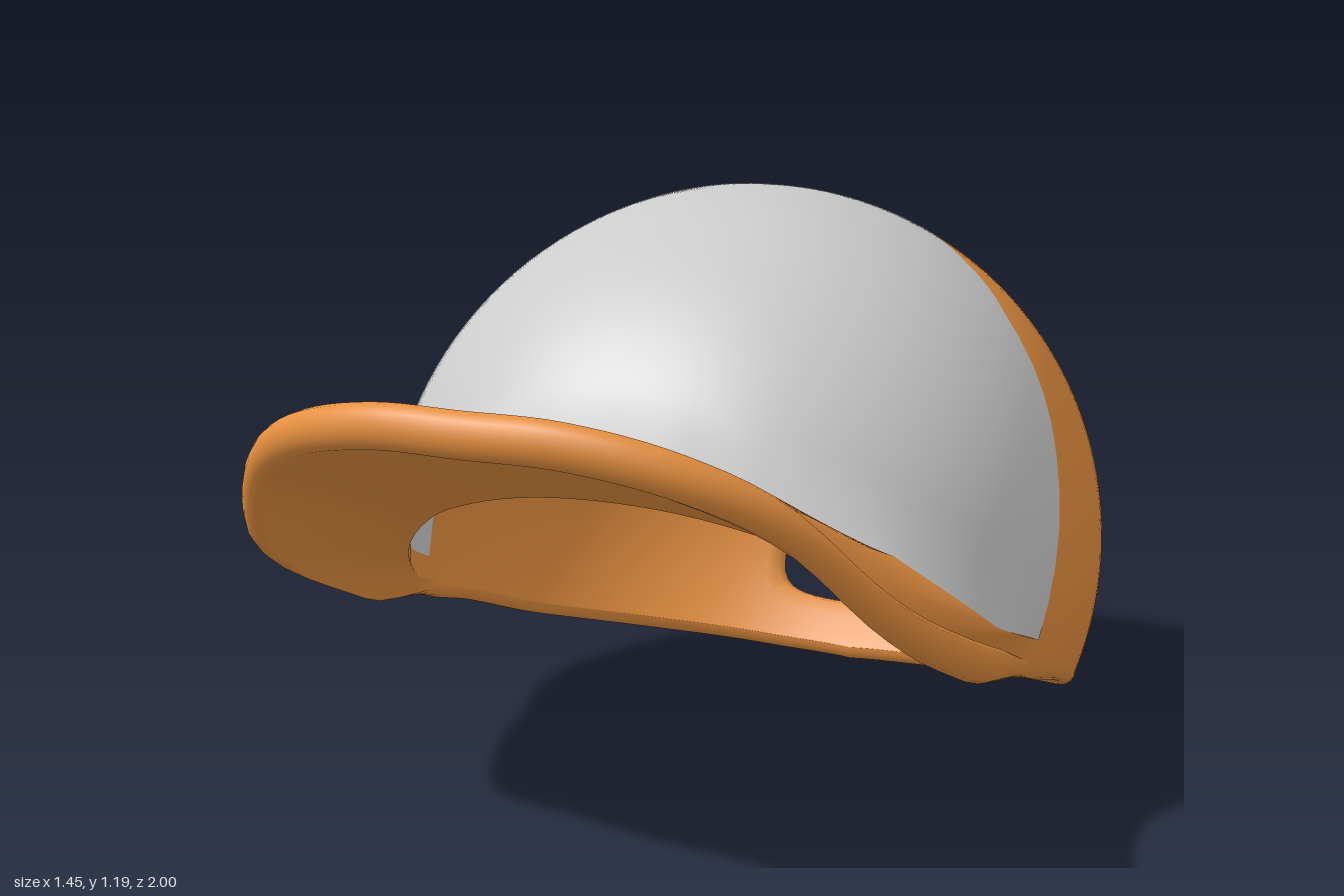
import * as THREE from 'three';

const COLS = 144, BACK = COLS / 2;
// Section rows from the outer pole, over the edge, to the inner pole
const SEAM = 32, EDGE = 80, UNDER = 88, LINING = 108, LAST = 188;
// Opening in the back, as half sizes in columns and rows
const HOLE = { j: 72, w: 7, h: 5 };
const SHELL = 0.045;

const { lerp, clamp, smoothstep } = THREE.MathUtils;
const V = (x, y, z) => new THREE.Vector3(x, y, z);
const mix = (a, b, t) => a.clone().lerp(b, t);

// Keyed by azimuth in degrees, 0 = front, 180 = back
const seamY = [[0, .82], [12, .805], [25, .75], [45, .63], [63, .45], [75, .385], [87, .7],
  [99, .96], [111, 1.055], [130, 1.12], [180, 1.155]];
const rimY = [[0, .715], [18, .695], [35, .63], [45, .56], [59, .44], [68, .36], [75, .3],
  [90, .235], [110, .14], [135, .06], [160, .015], [180, 0]];
// Brim outline: azimuth, x, y, z
const brimEdge = [[0, 0, .945, 1], [15, .2, .94, .985], [30, .4, .89, .92], [42, .55, .79, .8],
  [50, .645, .64, .66], [56, .675, .54, .5], [62, .682, .45, .3], [68, .69, .39, .15], [75, .71, .35, -.03]];

// Interpolates column c of a key table, straight or smooth
function sample(keys, t, c = 1, smooth = true) {
  const n = keys.length - 1;
  if (t >= keys[n][0]) return keys[n][c];
  let k = 0;
  while (t >= keys[k + 1][0]) k++;
  const [p, q] = [keys[k], keys[k + 1]], d = q[0] - p[0], u = (t - p[0]) / d;
  if (!smooth) return lerp(p[c], q[c], u);
  const slope = m => {
    if (m === 0 && c > 1 || m === 0 && keys === rimY) return 0;
    const a = keys[Math.max(m - 1, 0)], b = keys[Math.min(m + 1, n)];
    return (b[c] - a[c]) / (b[0] - a[0]);
  };
  const u2 = u * u, u3 = u2 * u;
  return (2 * u3 - 3 * u2 + 1) * p[c] + (u3 - 2 * u2 + u) * d * slope(k)
    + (3 * u2 - 2 * u3) * q[c] + (u3 - u2) * d * slope(k + 1);
}

const polar = y => Math.acos(clamp((y - .45) / .75, -1, 1));

// Crown ellipsoid, slightly squared in plan
function crown(phi, deg, inset = 0) {
  const a = THREE.MathUtils.degToRad(deg), s = Math.sin(a), c = Math.cos(a);
  const r = Math.sin(phi) * (Math.abs(s) ** 2.2 + Math.abs(c) ** 2.2) ** (-1 / 2.2);
  return V((.725 - inset) * s * r, .45 + (.75 - inset) * Math.cos(phi), -.24 + (.76 - inset) * c * r);
}

// Point on the section at azimuth t (0..180) and row j
function section(t, j) {
  const w = 1 - smoothstep(t, 66, 78);           // 1 at the brim, 0 behind it
  const phiSeam = polar(sample(seamY, t, 1, false));
  const phiEdge = polar(sample(rimY, t) + .04 * (1 - w));
  const phiAt = r => r <= SEAM ? phiSeam * r / SEAM : lerp(phiSeam, phiEdge, (r - SEAM) / (EDGE - SEAM));
  if (j >= LINING) return crown(phiAt(LAST - j), t, SHELL);

  // Crown flares out where it meets the brim
  const dome = r => {
    const p = crown(phiAt(r), t), a = THREE.MathUtils.degToRad(t);
    const f = .05 * w * Math.max(0, Math.cos(a)) * clamp((r / SEAM - .86) / .14, 0, 1) ** 2;
    return p.add(V(Math.sin(a) * f, 0, Math.cos(a) * f));
  };
  if (j <= SEAM) return dome(j);

  const e = V(sample(brimEdge, t, 1), sample(brimEdge, t, 2), sample(brimEdge, t, 3));
  const out = V(e.x, 0, e.z - .35).normalize().multiplyScalar(.035);
  const core = e.clone().sub(out);
  const top = mix(crown(phiEdge, t), core.clone().add(V(0, .043, 0)), w);
  if (j <= EDGE) {
    const s = (j - SEAM) / (EDGE - SEAM);
    return mix(crown(phiAt(j), t), mix(dome(SEAM), top, s), w);
  }
  const bottom = mix(crown(phiEdge + .03, t, SHELL), core.clone().add(V(0, -.043, 0)), w);
  if (j <= UNDER) {                              // rounded edge
    const a = Math.PI * (j - EDGE) / (UNDER - EDGE);
    return mix(top, bottom, (1 - Math.cos(a)) / 2)
      .addScaledVector(mix(V(0, -.03, 0), out, w), Math.sin(a));
  }
  return mix(bottom, crown(phiEdge, t, SHELL), (j - UNDER) / (LINING - UNDER));
}

// Grid point; columns and rows bend around the opening to round its corners
function point(i, j, shrink = 1) {
  const inner = j >= LINING;
  let r = inner ? LAST - j : j;
  if (r <= EDGE) {
    let a = (i - BACK) / HOLE.w, b = (r - HOLE.j) / HOLE.h;
    const m = Math.max(Math.abs(a), Math.abs(b));
    if (m > 0 && m < 1.6) {
      const d = clamp((m - 1) / .6, 0, 1);
      const k = shrink * lerp(m / (a ** 4 + b ** 4) ** .25, 1, d);
      a *= k * (1 + .08 * b * (1 - d));
      b *= k;
      i = BACK + a * HOLE.w;
      r = HOLE.j + b * HOLE.h;
    }
  }
  const deg = i * 360 / COLS, mirrored = deg > 180;
  const p = section(mirrored ? 360 - deg : deg, inner ? LAST - r : (j <= EDGE ? r : j));
  if (mirrored) p.x *= -1;
  return p;
}

export function createModel() {
  const pos = [];
  const id = (i, j) => j * COLS + (j === 0 || j === LAST ? 0 : i % COLS);
  for (let j = 0; j <= LAST; j++)
    for (let i = 0; i < COLS; i++) pos.push(...point(i, j).toArray());

  // Sort the quads into parts, leaving the opening free
  const parts = { frontPanel: [], backPanel: [], brim: [] };
  for (let j = 0; j < LAST; j++) {
    const r = j >= LINING ? LAST - j - 1 : j;
    for (let i = 0; i < COLS; i++) {
      if (Math.abs(i + .5 - BACK) < HOLE.w && Math.abs(r + .5 - HOLE.j) < HOLE.h) continue;
      const front = Math.min(i + .5, COLS - i - .5) < 30;
      const part = r < SEAM ? 'frontPanel' : front && j < LINING ? 'brim' : 'backPanel';
      const a = id(i, j), b = id(i, j + 1), c = id(i + 1, j + 1), d = id(i + 1, j);
      if (j > 0) parts[part].push(a, b, d);
      if (j < LAST - 1) parts[part].push(b, c, d);
      if (j === 0) parts[part].pop, parts[part].push(a, b, c);
      if (j === LAST - 1) parts[part].push();
    }
  }

  // Rounded wall of the opening
  const ring = [], { w, h } = HOLE;
  for (let k = -w; k < w; k++) ring.push([BACK + k, HOLE.j + h]);
  for (let k = h; k > -h; k--) ring.push([BACK + w, HOLE.j + k]);
  for (let k = w; k > -w; k--) ring.push([BACK + k, HOLE.j - h]);
  for (let k = -h; k < h; k++) ring.push([BACK - w, HOLE.j + k]);
  const mid = pos.length / 3;
  for (const [i, j] of ring) pos.push(...mix(point(i, j, .94), point(i, LAST - j, .94), .5).toArray());
  ring.forEach(([i, j], k) => {
    const n = (k + 1) % ring.length, [i2, j2] = ring[n];
    const loops = [[id(i, j), id(i2, j2)], [mid + k, mid + n], [id(i, LAST - j), id(i2, LAST - j2)]];
    for (let s = 0; s < 2; s++) {
      const [a, b] = loops[s], [d, c] = loops[s + 1];
      parts.backPanel.push(a, b, c, a, c, d);
    }
  });

  // Normals are shared by all parts so the seams stay smooth
  const whole = new THREE.BufferGeometry();
  whole.setAttribute('position', new THREE.Float32BufferAttribute(pos, 3));
  whole.setIndex(Object.values(parts).flat());
  whole.computeVertexNormals();

  const group = new THREE.Group();
  group.name = 'cap';
  const grey = new THREE.MeshStandardMaterial({ color: 0xcccccc });
  const orange = new THREE.MeshStandardMaterial({ color: 0xe69040 });
  for (const [name, index] of Object.entries(parts)) {
    const geometry = new THREE.BufferGeometry();
    geometry.setAttribute('position', whole.attributes.position);
    geometry.setAttribute('normal', whole.attributes.normal);
    geometry.setIndex(index);
    const mesh = new THREE.Mesh(geometry, name === 'frontPanel' ? grey : orange);
    mesh.name = name;
    group.add(mesh);
  }
  return group;
}
